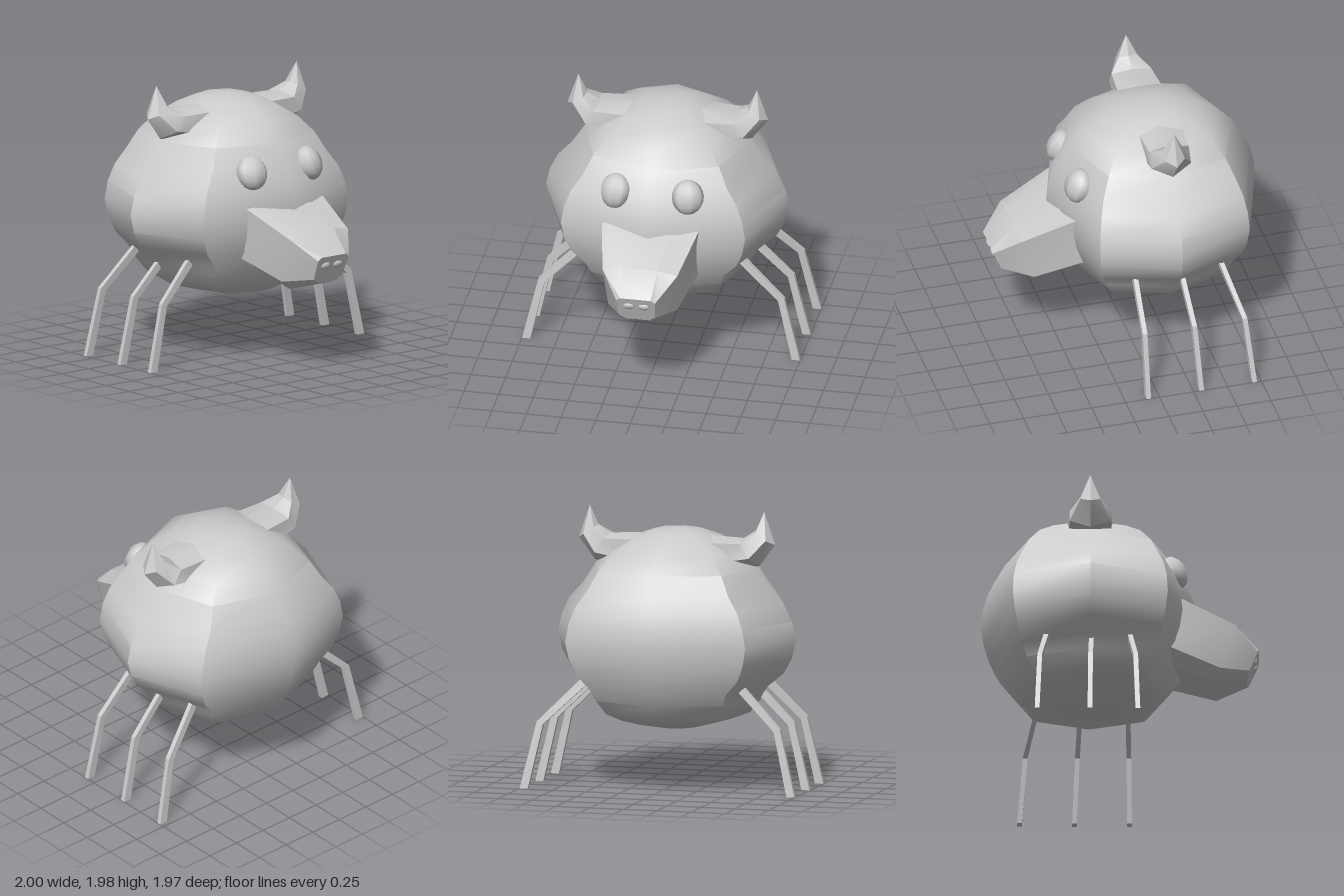
import * as THREE from 'three';
import { toCreasedNormals } from 'three/addons/utils/BufferGeometryUtils.js';

const material = new THREE.MeshStandardMaterial({ color: 0xcccccc });

// Skin a list of rings (equal numbers of [x, y, z] points), closing both ends.
function loft(rings, crease) {
  const pts = rings.flat();
  const n = rings[0].length;
  const faces = [];
  for (let r = 0; r < rings.length - 1; r++) {
    for (let i = 0; i < n; i++) {
      const a = r * n + i, b = r * n + (i + 1) % n;
      faces.push([a, b, b + n], [a, b + n, a + n]);
    }
  }
  const last = (rings.length - 1) * n;
  for (let i = 1; i < n - 1; i++) {
    faces.push([0, i + 1, i], [last, last + i, last + i + 1]);
  }
  // Signed volume tells whether the winding faces outward.
  const v = pts.map((p) => new THREE.Vector3(...p));
  const cross = new THREE.Vector3();
  let volume = 0;
  const solid = faces.filter(([a, b, c]) => {
    const ab = v[b].clone().sub(v[a]), ac = v[c].clone().sub(v[a]);
    return ab.cross(ac).length() > 1e-7;
  });
  for (const [a, b, c] of solid) volume += v[a].dot(cross.crossVectors(v[b], v[c]));
  if (volume < 0) solid.forEach((f) => f.reverse());

  const geometry = new THREE.BufferGeometry();
  geometry.setAttribute('position', new THREE.Float32BufferAttribute(pts.flat(), 3));
  geometry.setIndex(solid.flat());
  return toCreasedNormals(geometry, crease);
}

function add(parent, name, geometry) {
  const mesh = new THREE.Mesh(geometry, material);
  mesh.name = name;
  parent.add(mesh);
  return mesh;
}

// Eight-sided body: height, half width, half depth
function bodyGeometry() {
  const profile = [
    [0.41, 0, 0], [0.42, 0.12, 0.15], [0.45, 0.27, 0.33], [0.49, 0.41, 0.47],
    [0.54, 0.54, 0.55], [0.64, 0.62, 0.63], [0.73, 0.67, 0.68], [0.83, 0.79, 0.72],
    [0.94, 0.85, 0.75], [1.07, 0.88, 0.77], [1.2, 0.85, 0.76], [1.32, 0.79, 0.73],
    [1.43, 0.69, 0.68], [1.57, 0.6, 0.6], [1.68, 0.48, 0.5], [1.77, 0.33, 0.36],
    [1.83, 0.17, 0.19], [1.85, 0, 0],
  ];
  const corners = [[0, 1], [0.756, 0.714], [1, 0], [0.756, -0.714],
    [0, -1], [-0.756, -0.714], [-1, 0], [-0.756, 0.714]];
  return loft(profile.map(([y, rx, rz]) =>
    corners.map(([x, z]) => [x * rx, y, z * rz - 0.21])), 0.7);
}

// Muzzle section: top and bottom (y, z), half width, flat part of the top, drop of the corners
function muzzleRing([topY, topZ, lowY, lowZ, w, flat, drop]) {
  const at = (x, t) => [x, topY + (lowY - topY) * t, topZ + (lowZ - topZ) * t];
  const half = [[flat, 0], [w, drop], [w * 0.93, 0.84], [w * 0.6, 1]];
  return [
    ...half.map(([x, t]) => at(x, t)),
    ...half.slice().reverse().map(([x, t]) => at(-x, t)),
  ];
}

// Horn section: inner and outer (x, y) and half depth
function hornRing([ix, iy, ox, oy, w]) {
  return [[0, 0], [0.12, w], [0.65, w], [1, 0], [0.65, -w], [0.12, -w]]
    .map(([t, z]) => [ix + (ox - ix) * t, iy + (oy - iy) * t, z - 0.21]);
}

// Bent square leg on one side
function legGeometry(side, rootZ, kneeZ, footZ) {
  const ring = (x0, y0, x1, y1, z) => [
    [side * x0, y0, z - 0.017], [side * x1, y1, z - 0.017],
    [side * x1, y1, z + 0.017], [side * x0, y0, z + 0.017],
  ];
  return loft([
    ring(0.55, 0.74, 0.59, 0.78, rootZ),
    ring(0.84, 0.46, 0.885, 0.48, kneeZ),
    ring(0.94, 0, 1, 0, footZ),
  ], 0.3);
}

export function createModel() {
  const model = new THREE.Group();
  model.name = 'hornedCreature';

  const upper = new THREE.Group();
  upper.name = 'bodyAndHead';
  upper.position.x = -0.015;
  model.add(upper);

  add(upper, 'body', bodyGeometry());

  add(upper, 'muzzle', loft([
    [1.235, 0.25, 0.74, 0.25, 0.39, 0.17, 0],
    [1.02, 0.83, 0.59, 0.69, 0.27, 0.13, 0.08],
    [0.86, 0.99, 0.66, 0.91, 0.14, 0.11, 0.12],
  ].map(muzzleRing), 0.45));

  const sides = [[1, 'left'], [-1, 'right']];
  for (const [side, label] of sides) {
    // Flattened eye, leaning with the face
    const eye = add(upper, `${label}Eye`, new THREE.SphereGeometry(1, 8, 10));
    eye.scale.set(0.115, 0.125, 0.085);
    eye.position.set(side * 0.262, 1.395, 0.39);
    eye.rotation.set(-0.4, side * 0.35, 0, 'YXZ');

    const nostril = add(upper, `${label}Nostril`, new THREE.SphereGeometry(1, 8, 6));
    nostril.scale.set(0.045, 0.03, 0.02);
    nostril.position.set(side * 0.055, 0.79, 0.958);
    nostril.rotation.x = 0.38;

    const horn = [
      [0.22, 1.8, 0.25, 1.5, 0.165],
      [0.49, 1.785, 0.61, 1.59, 0.145],
      [0.58, 1.84, 0.725, 1.745, 0.07],
      [0.645, 1.98, 0.645, 1.98, 0],
    ].map((s) => hornRing(s).map(([x, y, z]) => [side * x, y, z]));
    add(upper, `${label}Horn`, loft(horn, 0.4));
  }

  // Three legs a side: root, knee and foot depth
  const legs = {
    left: [[0.065, 0.075, 0.08], [-0.27, -0.29, -0.31], [-0.57, -0.66, -0.7]],
    right: [[0.07, 0.11, 0.125], [-0.2, -0.21, -0.215], [-0.52, -0.57, -0.59]],
  };
  for (const [side, label] of sides) {
    legs[label].forEach((depths, i) => {
      add(model, `${label}${['Front', 'Middle', 'Rear'][i]}Leg`, legGeometry(side, ...depths));
    });
  }
  return model;
}
